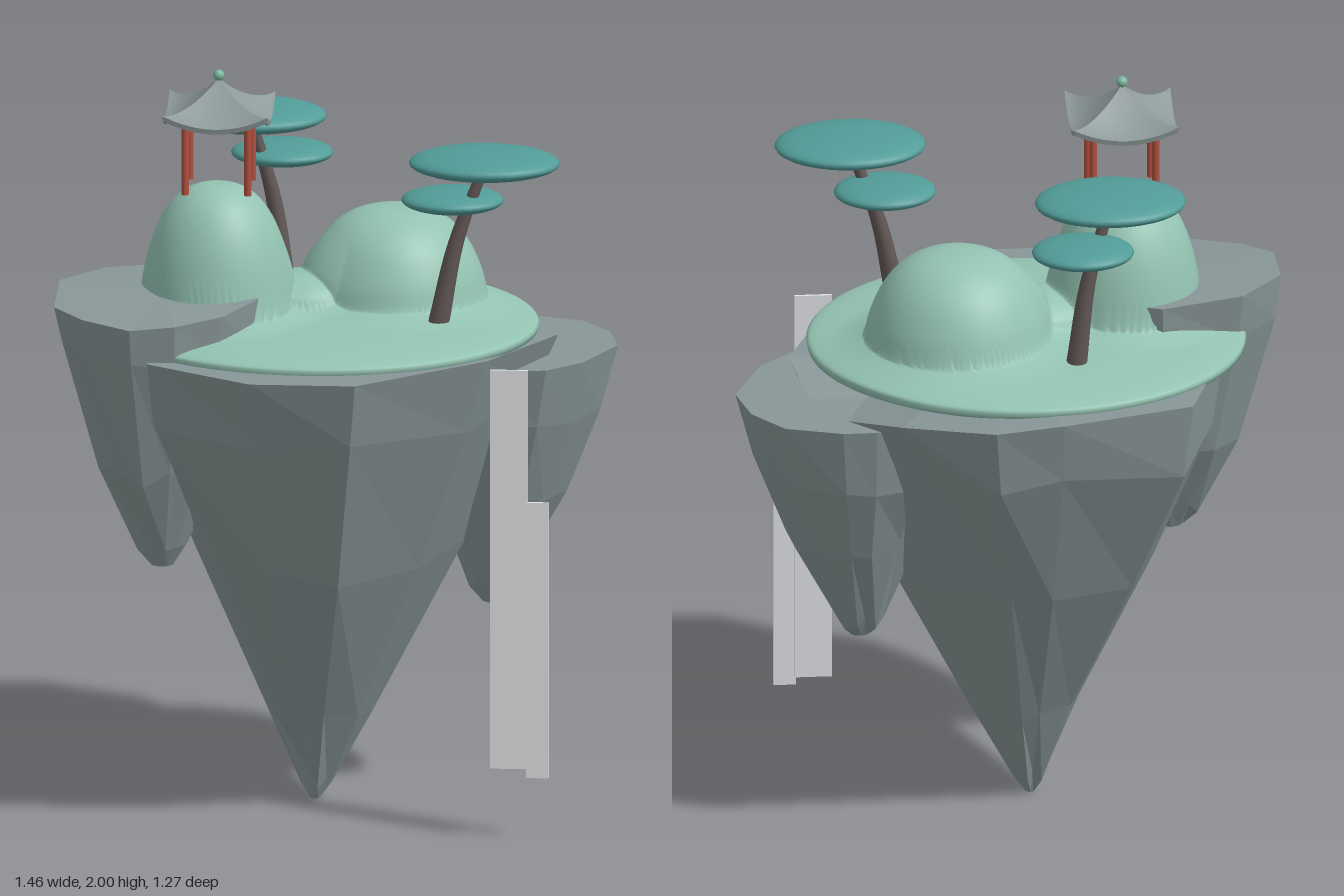
import * as THREE from 'three';
import { toCreasedNormals } from 'three/addons/utils/BufferGeometryUtils.js';

const mat = (name, color, extra = {}) => {
  const m = new THREE.MeshStandardMaterial({ color, ...extra });
  m.name = name;
  return m;
};

// Skin between closed rows of points, listed from the top down
function loft(rows) {
  const n = rows[0].length, pos = rows.flat(2), idx = [];
  for (let r = 0; r < rows.length - 1; r++) {
    for (let i = 0; i < n; i++) {
      const j = (i + 1) % n, a = r * n, b = a + n;
      idx.push(a + i, a + j, b + i, a + j, b + j, b + i);
    }
  }
  const g = new THREE.BufferGeometry();
  g.setAttribute('position', new THREE.Float32BufferAttribute(pos, 3));
  g.setIndex(idx);
  g.computeVertexNormals();
  return g;
}

// Hanging rock: a top outline of [x, z, drop] shrunk step by step towards a tip
function rockGeometry(outline, [cx, cz], [tx, tz], levels, seed) {
  let s = seed;
  const rand = () => (s = (s * 16807) % 2147483647) / 2147483647 - 0.5;
  const top = levels[0][0], bottom = levels[levels.length - 1][0];
  const rows = levels.map(([y, scale], k) => {
    const t = (top - y) / (top - bottom);
    const ox = cx + (tx - cx) * t, oz = cz + (tz - cz) * t;
    const rough = k > 0 && k < levels.length - 1 ? 1 : 0;
    return outline.map(([x, z, drop = 0]) => {
      const f = scale * (1 + rough * rand() * 0.06);
      const dy = rough * rand() * 0.05 - (k ? 0 : drop);
      return [ox + (x - cx) * f, y + dy, oz + (z - cz) * f];
    });
  });
  rows.unshift(outline.map(() => [cx, top, cz]));
  rows.push(outline.map(() => [tx, bottom, tz]));
  return loft(rows);
}

// Grass height: a shallow disc blended with two rounded hills and the saddle between them
const smoothMax = (a, b, k) => {
  const h = Math.max(k - Math.abs(a - b), 0) / k;
  return Math.max(a, b) + h * h * k * 0.25;
};
const hills = [[-0.09, -0.01, 0.13, 0.12], [-0.315, 0.065, 0.205, 0.38], [0.14, -0.115, 0.245, 0.28]];
function grassHeight(x, z, r) {
  let y = 1.3 + 0.045 * Math.sqrt(Math.max(0, 1 - r * r));
  for (const [hx, hz, R, H] of hills) {
    const d = Math.hypot(x - hx, z - hz) / R;
    const hill = d < 1 ? 1.31 + H * Math.sqrt(1 - Math.pow(d, 2.6)) : 1.31 - (d - 1) * 0.25;
    y = smoothMax(y, hill, 0.14);
  }
  return y;
}
function grassGeometry() {
  const rows = [], N = 180, M = 110;
  const row = (r, yAt) => rows.push(Array.from({ length: N }, (_, i) => {
    const a = (i / N) * Math.PI * 2;
    const x = -0.05 + Math.cos(a) * 0.58 * r, z = -0.01 + Math.sin(a) * 0.54 * r;
    return [x, yAt(x, z), z];
  }));
  for (let k = 0; k <= M; k++) row(k / M, (x, z) => grassHeight(x, z, k / M));
  row(0.995, () => 1.285);
  row(0.96, () => 1.275);
  row(0, () => 1.275);
  return loft(rows);
}

// Square roof with a concave slope and lifted corners
function roofGeometry() {
  const rows = [], S = 10;
  const row = (t, drop = 0) => {
    const pts = [];
    for (let side = 0; side < 4; side++) {
      for (let i = 0; i < S; i++) {
        const u = (i / S) * 2 - 1, c = [1, 0, -1, 0][side], s = [0, 1, 0, -1][side];
        const y = 0.105 * Math.pow(1 - t, 1.5) + 0.035 * t * t * u * u - drop;
        pts.push([(c - s * u) * t * 0.14, y, (s + c * u) * t * 0.14]);
      }
    }
    rows.push(pts);
  };
  for (let k = 0; k <= 10; k++) row(k / 10);
  row(0.98, 0.014);
  row(0.5, 0.03);
  return toCreasedNormals(loft(rows), 0.5);
}

export function createModel() {
  const model = new THREE.Group();
  model.name = 'floatingIsland';
  const rock = mat('rock grey', 0x899798, { flatShading: true });
  const grass = mat('grass green', 0x94c3b2);
  const leaf = mat('leaf teal', 0x529c98);
  const bark = mat('bark brown', 0x625856);
  const red = mat('post red', 0xb0503f);
  const tile = mat('roof grey', 0x8f9b9b, { side: THREE.DoubleSide });
  const jade = mat('finial green', 0x7cb8a0);
  const water = mat('water white', 0xe0e2e5);

  const add = (parent, name, geo, material, x = 0, y = 0, z = 0) => {
    const m = new THREE.Mesh(geo, material);
    m.name = name;
    m.position.set(x, y, z);
    parent.add(m);
    return m;
  };

  // Rocks
  add(model, 'mainRock', rockGeometry(
    [[0.58, -0.03, 0.02], [0.42, 0.34], [0.09, 0.63], [-0.19, 0.63], [-0.47, 0.44], [-0.58, 0.15],
      [-0.56, -0.15], [-0.45, -0.51], [-0.1, -0.62], [0.08, -0.64, 0.01], [0.32, -0.52, 0.03], [0.52, -0.26, 0.1]],
    [0, 0], [-0.06, 0],
    [[1.29, 1], [1.1, 0.91], [0.7, 0.61], [0.27, 0.25], [0.06, 0.07], [0.005, 0.02]], 11), rock);
  add(model, 'leftRock', rockGeometry(
    [[-0.17, 0.12], [-0.2, 0.25], [-0.28, 0.35, 0.02], [-0.4, 0.43, 0.03], [-0.52, 0.44, 0.04], [-0.65, 0.37, 0.03],
      [-0.73, 0.28, 0.02], [-0.73, 0.07], [-0.62, -0.07], [-0.4, -0.145], [-0.26, -0.09], [-0.19, 0]],
    [-0.45, 0.16], [-0.45, 0.18],
    [[1.42, 1], [1.29, 0.94], [0.95, 0.6], [0.74, 0.24], [0.68, 0.1]], 29), rock);
  add(model, 'rightRock', rockGeometry(
    [[0.73, -0.14], [0.65, 0.05], [0.56, 0.14], [0.42, 0.16], [0.25, 0.1], [0.15, -0.05],
      [0.14, -0.25], [0.25, -0.39], [0.38, -0.44], [0.47, -0.44], [0.62, -0.39], [0.7, -0.28]],
    [0.43, -0.14], [0.4, -0.12],
    [[1.215, 1], [1.03, 0.86], [0.82, 0.6], [0.57, 0.22], [0.52, 0.09]], 47), rock);

  // Grass with two hills
  add(model, 'grass', grassGeometry(), grass);

  // Trees: tapered curved trunk and two flat leaf pads
  const tree = (name, base, mid, top, big, small) => {
    const g = new THREE.Group();
    g.name = name;
    const curve = new THREE.CatmullRomCurve3([base, mid, top].map(p => new THREE.Vector3(...p)));
    const rows = curve.getPoints(12).reverse().map((p, k) => Array.from({ length: 12 }, (_, i) => {
      const a = (i / 12) * Math.PI * 2, r = 0.014 + 0.014 * (k / 12);
      return [p.x + Math.cos(a) * r, p.y, p.z + Math.sin(a) * r];
    }));
    add(g, 'trunk', loft(rows), bark);
    const pad = new THREE.SphereGeometry(1, 32, 16);
    add(g, 'bigLeafPad', pad, leaf, ...big).scale.set(0.2, 0.037, 0.157);
    add(g, 'smallLeafPad', pad, leaf, ...small).scale.set(0.135, 0.031, 0.117);
    model.add(g);
  };
  tree('frontTree', [0.28, 1.355, 0.18], [0.325, 1.57, 0.175], [0.4, 1.78, 0.17],
    [0.4, 1.787, 0.175], [0.312, 1.672, 0.125]);
  tree('backTree', [-0.16, 1.33, -0.285], [-0.19, 1.56, -0.285], [-0.25, 1.78, -0.275],
    [-0.25, 1.787, -0.285], [-0.172, 1.672, -0.345]);

  // Pavilion on the taller hill
  const pavilion = new THREE.Group();
  pavilion.name = 'pavilion';
  pavilion.position.set(-0.31, 0, 0.068);
  for (const sx of [-1, 1]) for (const sz of [-1, 1]) {
    add(pavilion, 'post', new THREE.CylinderGeometry(0.01, 0.01, 0.2, 12), red, sx * 0.083, 1.78, sz * 0.083);
  }
  add(pavilion, 'roof', roofGeometry(), tile, 0, 1.872, 0);
  add(pavilion, 'finial', new THREE.SphereGeometry(0.015, 16, 12), jade, 0, 1.985, 0);
  model.add(pavilion);

  // Waterfall sheets
  add(model, 'wideWaterfall', new THREE.BoxGeometry(0.1, 1.085, 0.008), water, 0.48, 0.735, 0.382);
  add(model, 'narrowWaterfall', new THREE.BoxGeometry(0.06, 0.75, 0.008), water, 0.555, 0.545, 0.388);
  return model;
}
